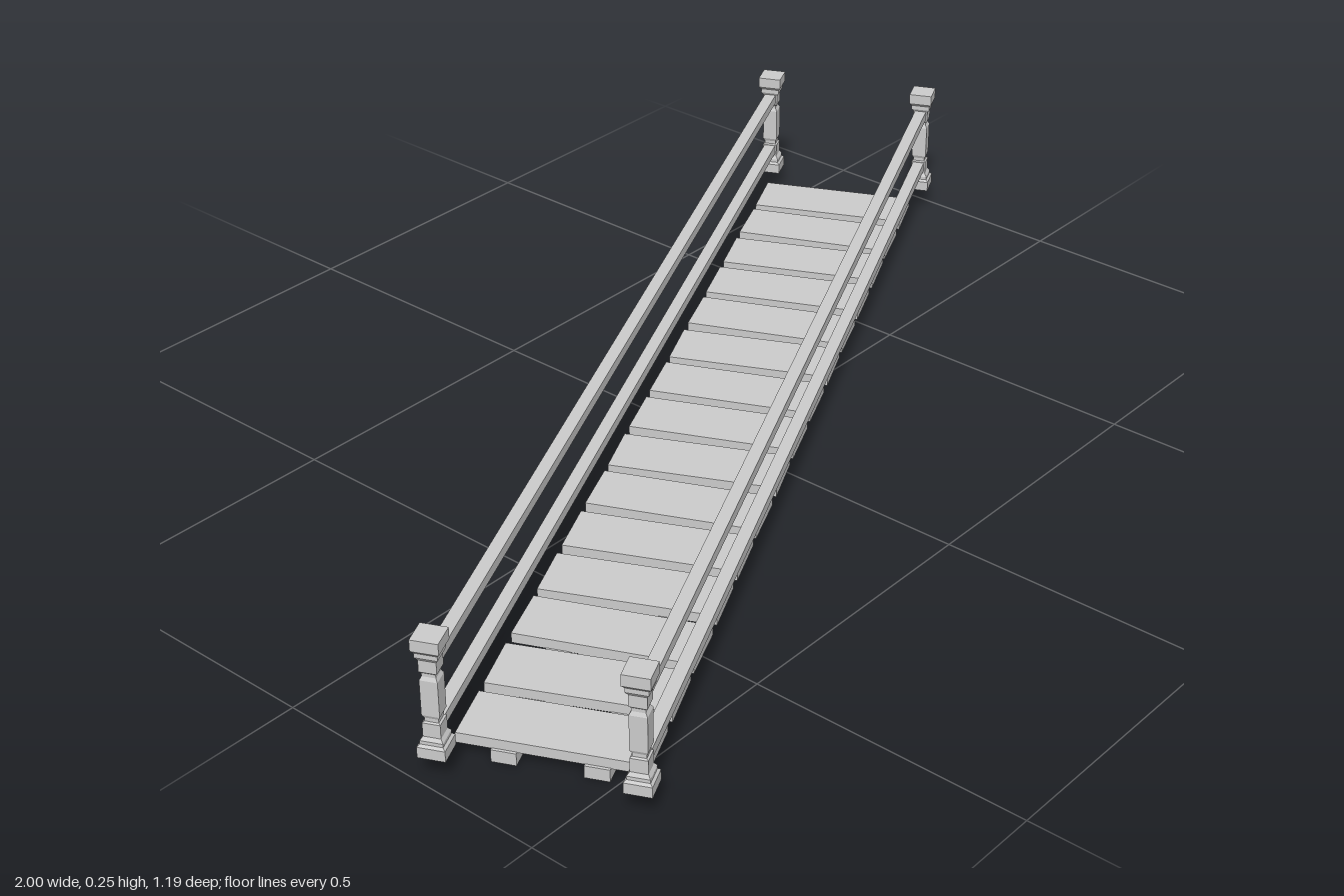
import * as THREE from 'three';

export function createModel() {
  const model = new THREE.Group();
  model.name = 'footbridge';
  const mat = new THREE.MeshStandardMaterial({ color: 0xcccccc, flatShading: true });

  // the bridge is laid out along x, then turned diagonally
  const bridge = new THREE.Group();
  bridge.name = 'bridge';
  bridge.rotation.y = 0.439;
  model.add(bridge);

  function box(name, w, h, d, x, y, z) {
    const m = new THREE.Mesh(new THREE.BoxGeometry(w, h, d), mat);
    m.name = name;
    m.position.set(x, y, z);
    bridge.add(m);
    return m;
  }

  // square turned post: [half width, height] from foot to cap
  const profile = [
    [0, 0.045], [0.022, 0.045], [0.022, 0.064], [0.018, 0.068], [0.018, 0.074],
    [0.014, 0.08], [0.014, 0.104], [0.011, 0.106], [0.011, 0.112], [0.014, 0.118],
    [0.014, 0.180], [0.011, 0.186], [0.011, 0.192], [0.014, 0.195], [0.014, 0.216],
    [0.018, 0.222], [0.018, 0.230], [0.022, 0.235], [0.022, 0.255], [0, 0.255],
  ].map(([r, y]) => new THREE.Vector2(r * Math.SQRT2, y));
  const postGeo = new THREE.LatheGeometry(profile, 4).rotateY(Math.PI / 4);

  for (const side of [-1, 1]) {
    for (const end of [-1, 1]) {
      const post = new THREE.Mesh(postGeo, mat);
      post.name = 'post';
      post.position.set(end, 0, side * 0.156);
      bridge.add(post);
    }
    // handrail and lower rail
    box('upperRail', 2, 0.018, 0.022, 0, 0.208, side * 0.156);
    box('lowerRail', 2, 0.018, 0.022, 0, 0.094, side * 0.156);
    // bearer beams under the deck
    box('beam', 1.9, 0.022, 0.04, 0, 0.011, side * 0.072);
  }

  // deck planks
  const count = 15, pitch = 0.1275;
  for (let i = 0; i < count; i++) {
    const plank = box('plank', 0.105, 0.018, 0.296, (i - (count - 1) / 2) * pitch, 0.03, 0);
    plank.rotation.y = Math.sin(i * 2.3) * 0.015; // slightly uneven boards
  }
  return model;
}
